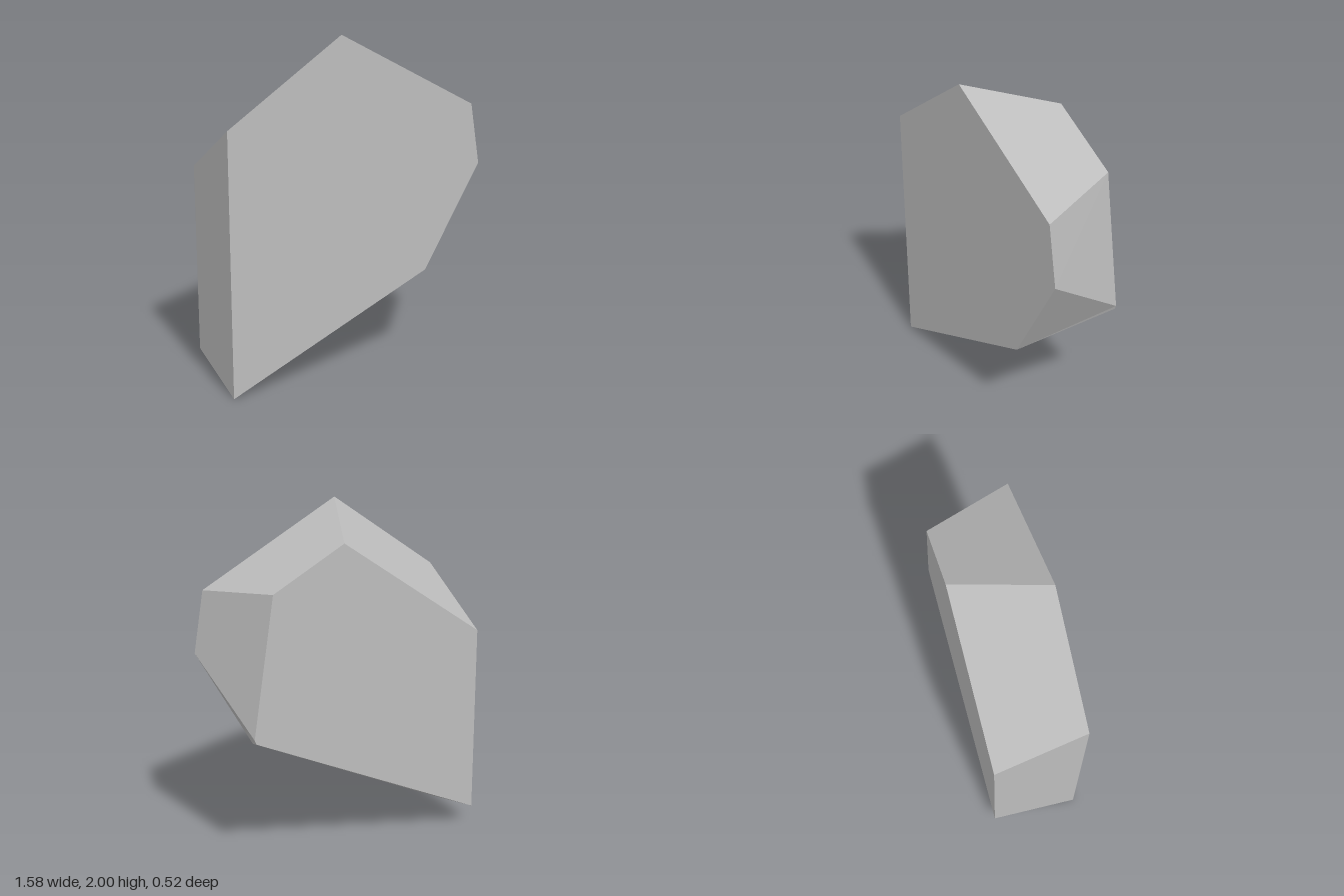
import * as THREE from 'three';

// Outlines of the two flat faces, counter-clockwise seen from the front
const DEPTH = 0.26;
const FRONT = [[-0.79, 0], [0.44, 0.57], [0.79, 1.18], [0.73, 1.54], [-0.115, 2], [-0.79, 1.54]];
const BACK = [[-0.79, 0.11], [0.66, 0.775], [0.67, 0.8], [0.545, 1.6], [0.11, 1.835], [-0.79, 1.23]];

// Loft between the outlines: two caps and a ring of bevelled sides
function loft(front, back, depth) {
  const positions = [];
  const n = front.length;
  const f = (i) => [...front[i % n], depth];
  const b = (i) => [...back[i % n], -depth];
  const tri = (...points) => points.forEach((p) => positions.push(...p));
  for (let i = 0; i < n; i++) {
    tri(f(i), b(i), b(i + 1));
    tri(f(i), b(i + 1), f(i + 1));
  }
  for (let i = 1; i < n - 1; i++) {
    tri(f(0), f(i), f(i + 1));
    tri(b(0), b(i + 1), b(i));
  }
  const geometry = new THREE.BufferGeometry();
  geometry.setAttribute('position', new THREE.Float32BufferAttribute(positions, 3));
  geometry.computeVertexNormals();
  return geometry;
}

export function createModel() {
  const stone = new THREE.MeshStandardMaterial({ color: 0xbcbcbc });
  stone.name = 'stone grey';
  stone.flatShading = true;

  const group = new THREE.Group();
  group.name = 'stoneShard';
  const shard = new THREE.Mesh(loft(FRONT, BACK, DEPTH), stone);
  shard.name = 'shard';
  group.add(shard);
  return group;
}
